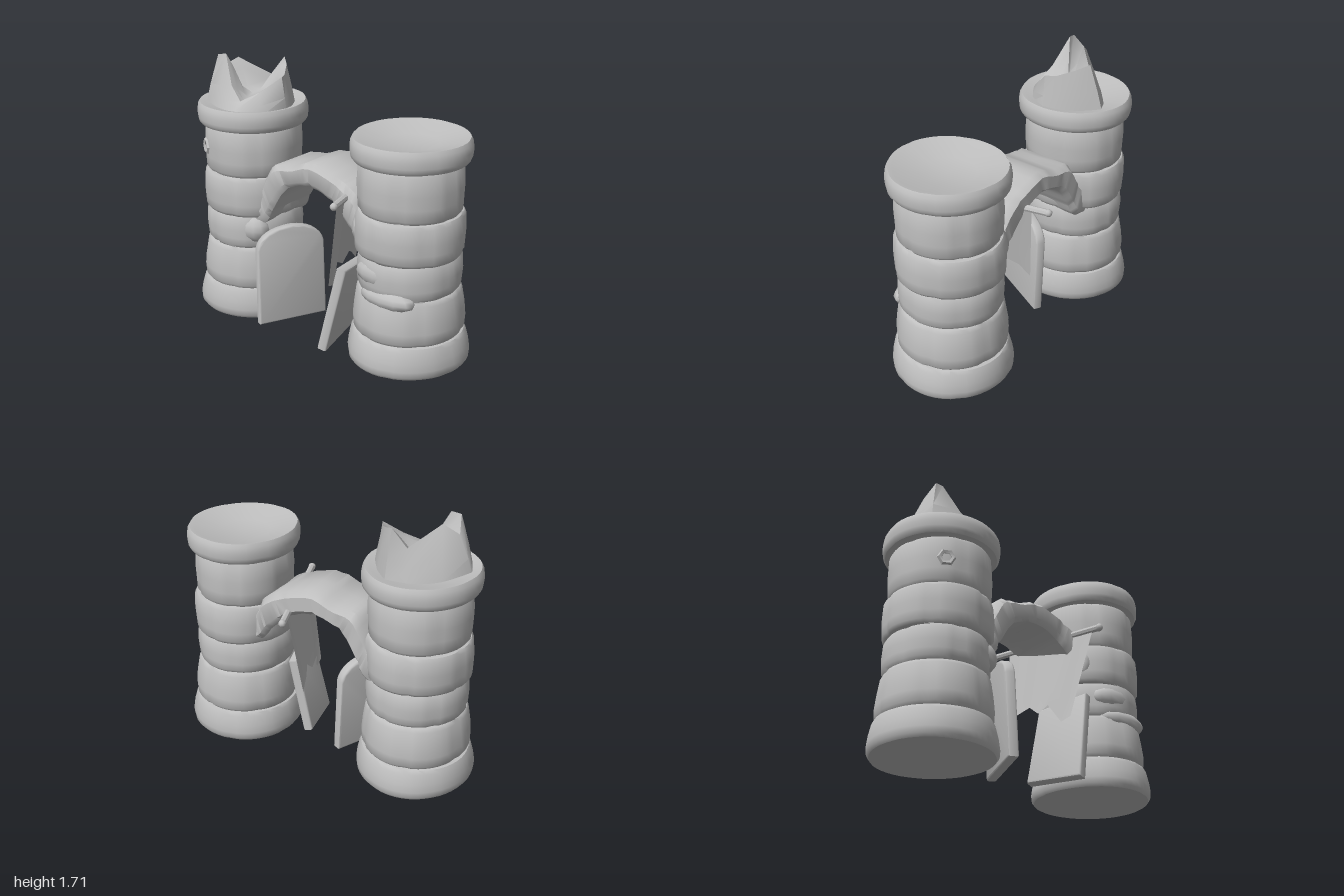
import * as THREE from 'three';
import { toCreasedNormals } from 'three/addons/utils/BufferGeometryUtils.js';

const stone = new THREE.MeshStandardMaterial({ color: 0xbfbfbf, side: THREE.DoubleSide });
stone.name = 'grey stone';

function part(name, geometry, parent, crease = 0.7) {
  const mesh = new THREE.Mesh(crease ? toCreasedNormals(geometry, crease) : geometry, stone);
  mesh.name = name;
  parent.add(mesh);
  return mesh;
}

// Skin a list of equal-length sections of [x, y, z] points
function skin(sections, closed) {
  const n = sections[0].length, index = [];
  for (let i = 0; i < sections.length - 1; i++) {
    for (let j = 0; j < (closed ? n : n - 1); j++) {
      const k = (j + 1) % n;
      const a = i * n + j, b = i * n + k, c = a + n, d = b + n;
      index.push(a, b, d, a, d, c);
    }
  }
  const g = new THREE.BufferGeometry();
  g.setAttribute('position', new THREE.Float32BufferAttribute(sections.flat(2), 3));
  g.setIndex(index);
  g.computeVertexNormals();
  return g;
}

// Stone courses: bottom, top, lower radius, upper radius
const courses = [
  [0.01, 0.21, 0.385, 0.365],
  [0.21, 0.49, 0.352, 0.332],
  [0.49, 0.71, 0.325, 0.325],
  [0.71, 0.97, 0.338, 0.338],
  [0.97, 1.28, 0.322, 0.322],
  [1.28, 1.42, 0.366, 0.366],
];

// The axis runs from x at the foot to topX at the collar
function tower(name, x, topX, twist, parent) {
  const pts = [[0, 0.01], [0.2, 0.01]];
  for (const [y0, y1, r0, r1] of courses) {
    const h = y1 - y0;
    pts.push([r0 - 0.018, y0 + 0.002], [r0 - 0.003, y0 + 0.022], [r0, y0 + h * 0.3],
      [(r0 + r1) / 2 + 0.003, y0 + h * 0.55], [r1 - 0.003, y1 - 0.025], [r1 - 0.016, y1 - 0.002]);
  }
  pts.push([0.32, 1.412], [0.17, 1.37], [0, 1.365]);
  const g = new THREE.LatheGeometry(pts.map(p => new THREE.Vector2(...p)), 48);
  // Vertical joints and slight unevenness of the stones
  const p = g.attributes.position;
  for (let i = 0; i < p.count; i++) {
    const px = p.getX(i), y = p.getY(i), pz = p.getZ(i);
    const c = courses.findIndex(k => y < k[1]);
    const lean = x + (topX - x) * y / 1.42;
    let s = 1;
    if (c >= 0 && Math.hypot(px, pz) > 0.27) {
      const a = Math.atan2(pz, px) + twist + c * 0.55;
      const step = Math.PI / 3;
      const d = Math.abs(a / step - Math.round(a / step)) * step;
      s = 1 - (c === 0 || c === 5 ? 0.012 : 0.03) * Math.exp(-d * d / 0.006)
        + 0.012 * Math.sin(a * 3 + c * 2) * Math.cos(y * 9);
    }
    p.setXYZ(i, lean + px * s * 0.965, y, pz * s);
  }
  part(name, g, parent, 0.75);
}

// Slab with bevelled edges, standing on its own axes
function slab(name, shape, origin, across, up, parent) {
  const g = new THREE.ExtrudeGeometry(shape, {
    depth: 0.04, bevelThickness: 0.012, bevelSize: 0.012, bevelSegments: 2, curveSegments: 8,
  });
  const ax = new THREE.Vector3(...across).normalize();
  const az = ax.clone().cross(new THREE.Vector3(...up)).normalize();
  const ay = az.clone().cross(ax);
  g.applyMatrix4(new THREE.Matrix4().makeBasis(ax, ay, az).setPosition(...origin));
  part(name, g, parent, 0.8);
}

export function createModel() {
  const root = new THREE.Group();
  root.name = 'ruinedGate';
  tower('rightTower', -0.633, -0.625, 0.2, root);
  tower('leftTower', 0.64, 0.622, 0.8, root);

  // Broken crown: base x, z and top x, y, z around the rim
  const crown = [
    [-0.92, 0.06, -0.82, 1.62, 0.06], [-0.86, 0.20, -0.79, 1.71, 0.14],
    [-0.71, 0.25, -0.73, 1.72, 0.13], [-0.62, 0.27, -0.63, 1.54, 0.19],
    [-0.54, 0.29, -0.53, 1.46, 0.22], [-0.40, 0.19, -0.43, 1.52, 0.14],
    [-0.31, 0.03, -0.34, 1.61, 0.04], [-0.34, -0.06, -0.37, 1.61, -0.02],
    [-0.42, -0.18, -0.44, 1.65, -0.12], [-0.52, -0.28, -0.51, 1.68, -0.18],
    [-0.63, -0.22, -0.59, 1.56, -0.14], [-0.79, -0.09, -0.73, 1.68, 0.02],
  ];
  const mid = [-0.59, 1.47, 0.04];
  part('brokenCrown', skin([
    crown.map(([x, z]) => [x, 1.37, z]),
    crown.map(([x, z, tx, ty, tz]) => [x * 0.6 + tx * 0.4, 1.37 + (ty - 1.37) * 0.45, z * 0.6 + tz * 0.4]),
    crown.map(c => c.slice(2)),
    crown.map(c => [c[2] * 0.75 + mid[0] * 0.25, 1.46 + (c[3] - 1.46) * 0.72, c[4] * 0.75 + mid[2] * 0.25]),
    crown.map(c => [c[2] * 0.4 + mid[0] * 0.6, 1.46 + (c[3] - 1.46) * 0.2, c[4] * 0.4 + mid[2] * 0.6]),
    crown.map(() => mid),
  ], true), root, 1.0);

  // Arch of wedge stones, its ends sunk in the towers
  const line = pts => new THREE.CatmullRomCurve3(pts.map(([x, y]) => new THREE.Vector3(x, y, 0)));
  const inner = line([[-0.52, 0.62], [-0.36, 0.68], [-0.29, 0.80], [-0.21, 0.92], [-0.1, 0.985],
    [0, 1.0], [0.1, 0.985], [0.21, 0.92], [0.31, 0.83], [0.38, 0.74], [0.52, 0.68]]);
  const outer = line([[-0.56, 0.80], [-0.44, 0.86], [-0.37, 0.96], [-0.29, 1.08], [-0.15, 1.10],
    [0, 1.155], [0.15, 1.125], [0.28, 1.08], [0.37, 1.02], [0.43, 0.92], [0.56, 0.84]]);
  const ring = [[-0.17, 1], [0, 1], [0.17, 1], [0.205, 0.8], [0.205, 0.2],
    [0.18, 0], [0, 0], [-0.18, 0], [-0.215, 0.2], [-0.215, 0.8]];
  const sections = [];
  for (let i = 0; i <= 36; i++) {
    const a = inner.getPoint(i / 36), b = outer.getPoint(i / 36);
    const joint = i % 6 === 0 ? 0.04 : 0;
    const flare = 1 + 0.12 * Math.pow(Math.abs(i - 18) / 18, 2) - joint;
    sections.push(ring.map(([z, f]) => {
      const t = 0.5 + (f - 0.5) * (1 - joint * 2);
      return [a.x + (b.x - a.x) * t, a.y + (b.y - a.y) * t, z * flare];
    }));
  }
  part('arch', skin(sections, true), root, 0.8);

  // Fallen doors: one with a rounded top, one square
  const round = new THREE.Shape();
  round.moveTo(0, 0);
  round.lineTo(0.45, 0);
  round.lineTo(0.445, 0.5);
  round.quadraticCurveTo(0.42, 0.61, 0.24, 0.625);
  round.quadraticCurveTo(0.03, 0.62, 0.005, 0.5);
  slab('rightDoor', round, [-0.33, 0.03, 0.31], [0.2, 0, -0.42], [-0.05, 1, 0], root);
  const square = new THREE.Shape();
  square.moveTo(0, 0);
  square.lineTo(0.36, 0.02);
  square.lineTo(0.34, 0.51);
  square.lineTo(0.02, 0.555);
  slab('leftDoor', square, [0.2, 0.03, 0.33], [-0.22, 0, -0.97], [0.13, 0.55, 0.03], root);

  // Pole through the arch, with a torn banner hanging from it
  const front = new THREE.Vector3(0.355, 1.02, 0.385), back = new THREE.Vector3(0.125, 0.985, -0.345);
  part('bannerPole', new THREE.TubeGeometry(new THREE.LineCurve3(front, back), 1, 0.022, 8), root);
  for (const end of [front, back]) {
    part('poleEnd', new THREE.SphereGeometry(0.025, 8, 6), root, 0).position.copy(end);
  }
  const hem = [0.42, 0.40, 0.52, 0.48, 0.54, 0.50, 0.43];
  const cloth = [];
  for (let r = 0; r <= 5; r++) {
    const v = r / 5;
    cloth.push(hem.map((bottom, j) => {
      const u = j / 6;
      const top = front.clone().lerp(back, 0.06 + u * 0.8);
      return [top.x + (0.21 - 0.12 * u - top.x) * v + 0.012 * Math.sin(j * 2) * v,
        top.y + (bottom - top.y) * v, top.z * (1 - 0.25 * v)];
    }));
  }
  part('banner', skin(cloth, false), root, 1);

  // Small window surround
  const frame = part('windowFrame', new THREE.TorusGeometry(0.042, 0.016, 5, 6), root);
  frame.position.set(-0.79, 1.13, 0.27);
  frame.rotation.y = -0.5;

  // Stones standing slightly proud of the walls: centre, half sizes
  const bumps = [
    [0.66, 0.485, 0.26, 0.19, 0.07, 0.085], [0.60, 0.62, 0.25, 0.17, 0.09, 0.085],
    [0.40, 0.84, 0.12, 0.06, 0.12, 0.13], [-0.46, 0.62, 0.19, 0.11, 0.10, 0.09],
    [-0.39, 0.76, 0.12, 0.06, 0.10, 0.11],
  ];
  for (const [x, y, z, sx, sy, sz] of bumps) {
    const b = part('looseStone', new THREE.SphereGeometry(1, 12, 8), root, 0);
    b.position.set(x, y, z);
    b.scale.set(sx, sy, sz);
  }
  return root;
}
